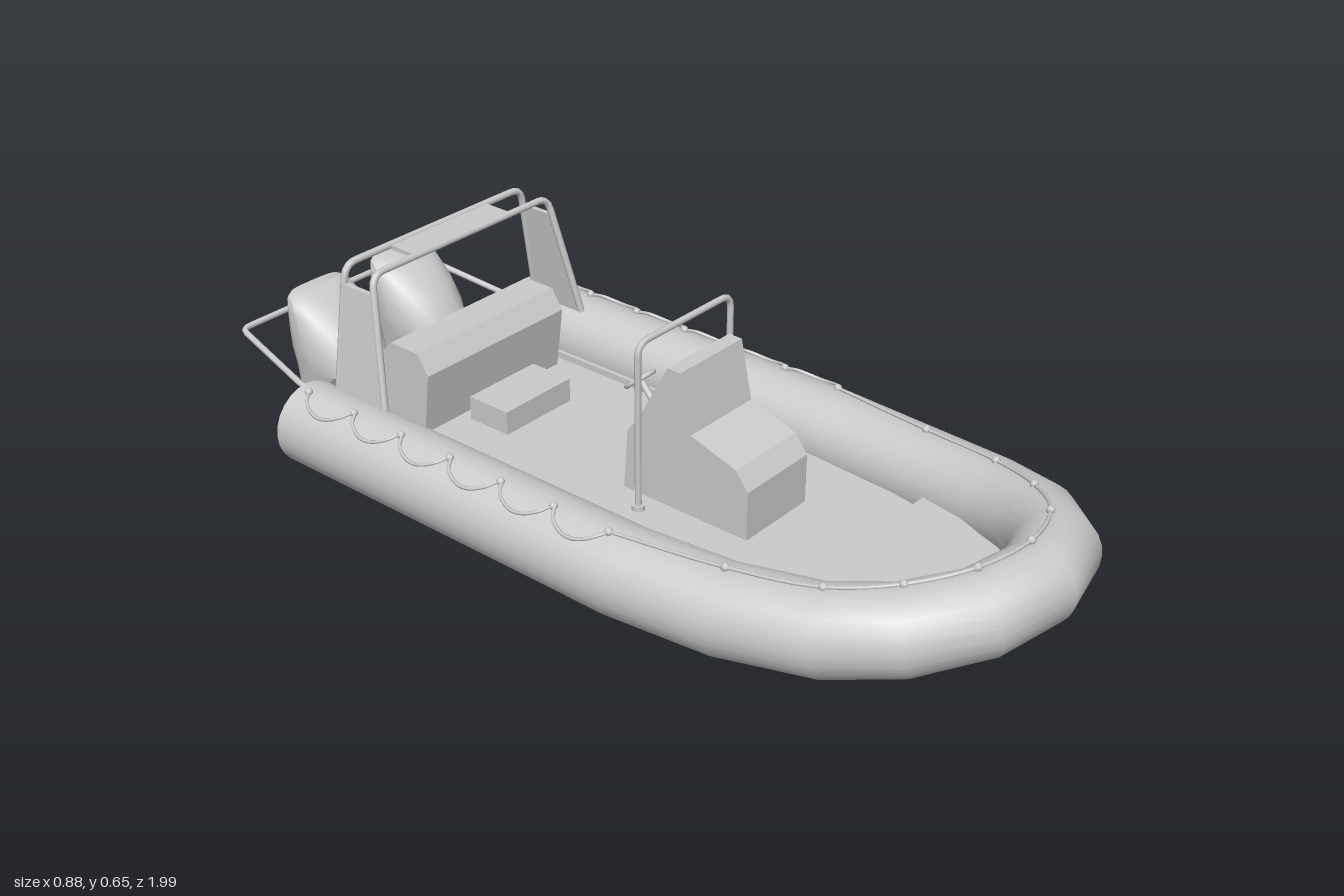
import * as THREE from 'three';
import { toCreasedNormals } from 'three/addons/utils/BufferGeometryUtils.js';

const V = (x, y, z) => new THREE.Vector3(x, y, z);
const material = new THREE.MeshStandardMaterial({ color: 0xcccccc, side: THREE.DoubleSide });

export function createModel() {
  const boat = new THREE.Group();
  const sides = [[-1, 'right'], [1, 'left']];

  function add(name, geometry, parent = boat) {
    const mesh = new THREE.Mesh(geometry, material);
    mesh.name = name;
    parent.add(mesh);
    return mesh;
  }

  function box(name, x0, x1, y0, y1, z0, z1) {
    const mesh = add(name, new THREE.BoxGeometry(x1 - x0, y1 - y0, z1 - z0));
    mesh.position.set((x0 + x1) / 2, (y0 + y1) / 2, (z0 + z1) / 2);
    return mesh;
  }

  // Skin over a row of closed rings, capped at both ends
  function loft(rings, crease = 0.6) {
    const n = rings[0].length, last = rings.length - 1, index = [];
    const points = rings.flat();
    for (const ring of [rings[0], rings[last]]) {
      points.push(ring.reduce((sum, p) => sum.add(p), V(0, 0, 0)).divideScalar(n));
    }
    for (let j = 0; j < n; j++) {
      const k = (j + 1) % n;
      for (let i = 0; i < last; i++) {
        const a = i * n + j, b = i * n + k;
        index.push(a, b, a + n, b, b + n, a + n);
      }
      index.push(points.length - 2, k, j, points.length - 1, last * n + j, last * n + k);
    }
    // Turn the faces outward when the rings run the other way
    let volume = 0;
    for (let i = 0; i < index.length; i += 3) {
      volume += points[index[i]].dot(V(0, 0, 0).crossVectors(points[index[i + 1]], points[index[i + 2]]));
    }
    if (volume < 0) index.reverse();
    const geometry = new THREE.BufferGeometry().setFromPoints(points);
    geometry.setIndex(index);
    return toCreasedNormals(geometry, crease);
  }

  // Extrude a (z, y) outline across x
  function sideProfile(outline, width) {
    const shape = new THREE.Shape(outline.map(([z, y]) => new THREE.Vector2(-z, y)));
    const geometry = new THREE.ExtrudeGeometry(shape, { depth: width, bevelEnabled: false });
    return geometry.translate(0, 0, -width / 2).rotateY(Math.PI / 2);
  }

  // Flat deck panel from a half outline (x, z), mirrored
  function panel(name, half, top, depth) {
    const all = [...half, ...half.slice().reverse().map(([x, z]) => [-x, z])];
    const shape = new THREE.Shape(all.map(([x, z]) => new THREE.Vector2(x, -z)));
    const geometry = new THREE.ExtrudeGeometry(shape, { depth, bevelEnabled: false });
    add(name, geometry.rotateX(-Math.PI / 2).translate(0, top - depth, 0));
  }

  // Bent metal pipe with rounded corners
  function pipe(name, pts, r, bend = 0.03) {
    const path = new THREE.CurvePath();
    let from = pts[0];
    for (let i = 1; i < pts.length - 1; i++) {
      const p = pts[i];
      const a = p.clone().add(pts[i - 1].clone().sub(p).setLength(bend));
      const b = p.clone().add(pts[i + 1].clone().sub(p).setLength(bend));
      path.add(new THREE.LineCurve3(from, a));
      path.add(new THREE.QuadraticBezierCurve3(a, p, b));
      from = b;
    }
    path.add(new THREE.LineCurve3(from, pts[pts.length - 1]));
    add(name, new THREE.TubeGeometry(path, 90, r, 8));
  }

  // Inflated collar: x, y, z, radius from stern cone to bow, mirrored
  const half = [
    [0.347, 0.278, -0.76, 0.004], [0.347, 0.278, -0.685, 0.092], [0.347, 0.278, 0.22, 0.093],
    [0.328, 0.283, 0.45, 0.092], [0.29, 0.304, 0.645, 0.09], [0.23, 0.332, 0.775, 0.088],
    [0.13, 0.361, 0.873, 0.085], [0, 0.372, 0.908, 0.083],
  ];
  const collar = [...half, ...half.slice(0, -1).reverse().map(([x, y, z, r]) => [-x, y, z, r])];
  add('inflatableCollar', loft(collar.map(([x, y, z, r], i) => {
    const p = collar[Math.max(i - 1, 0)], q = collar[Math.min(i + 1, collar.length - 1)];
    const along = V(q[0] - p[0], q[1] - p[1], q[2] - p[2]).normalize();
    const side = V(0, 0, 0).crossVectors(along, V(0, 1, 0)).normalize();
    const up = V(0, 0, 0).crossVectors(side, along);
    return Array.from({ length: 24 }, (_, j) => {
      const t = j / 24 * Math.PI * 2;
      return V(x, y, z).addScaledVector(side, r * Math.cos(t)).addScaledVector(up, r * Math.sin(t));
    });
  })));

  // Hull stations: z, top half width, top y, chine half width, chine y, keel y
  const stations = [
    [-0.64, 0.265, 0.25, 0.195, 0.142, 0.134], [0, 0.265, 0.25, 0.195, 0.14, 0.124],
    [0.35, 0.262, 0.25, 0.19, 0.145, 0.126], [0.53, 0.245, 0.255, 0.165, 0.165, 0.137],
    [0.67, 0.21, 0.27, 0.125, 0.2, 0.175], [0.74, 0.175, 0.28, 0.09, 0.23, 0.212],
    [0.79, 0.14, 0.29, 0.06, 0.268, 0.258],
  ];
  add('hull', loft(stations.map(([z, w, top, cw, cy, ky]) => {
    const right = [[w, top], [w * 0.6 + cw * 0.4, cy * 0.4 + top * 0.6], [cw, cy]];
    const left = right.slice().reverse().map(([x, y]) => [-x, y]);
    return [...right, [0, ky], ...left].map(([x, y]) => V(x, y, z));
  }), 0.7));

  // Decks
  panel('floor', [[0.27, -0.68], [0.27, 0.3], [0.255, 0.53]], 0.265, 0.03);
  panel('foredeck', [[0.26, 0.52], [0.215, 0.67], [0.16, 0.79], [0.08, 0.86]], 0.295, 0.025);
  for (const [s, label] of sides) {
    box(label + 'FloorRail', s * 0.24 - 0.005, s * 0.24 + 0.005, 0.26, 0.28, -0.64, 0.21);
  }

  // Transom plate
  const outline = [[0.25, 0.3], [0.24, 0.2], [0.2, 0.14], [0.175, 0.115], [0, 0.095]];
  const plate = [...outline, ...outline.slice(0, -1).reverse().map(([x, y]) => [-x, y])];
  const plateShape = new THREE.Shape(plate.map(([x, y]) => new THREE.Vector2(x, y)));
  add('transom', new THREE.ExtrudeGeometry(plateShape, { depth: 0.045, bevelEnabled: false })).position.z = -0.675;

  // Console with its wheel and grab hoop
  add('console', sideProfile([
    [0, 0.26], [0.32, 0.26], [0.32, 0.375], [0.29, 0.415], [0.175, 0.45],
    [0.148, 0.58], [0.115, 0.58], [0.045, 0.45], [0.01, 0.4],
  ], 0.194));
  const wheel = new THREE.Group();
  wheel.name = 'steeringWheel';
  wheel.position.set(-0.045, 0.495, 0);
  wheel.rotation.x = -Math.PI / 2 - 0.7;
  add('wheelRim', new THREE.TorusGeometry(0.032, 0.005, 8, 24), wheel);
  for (let i = 0; i < 3; i++) {
    const spoke = add('wheelSpoke', new THREE.BoxGeometry(0.006, 0.032, 0.004).translate(0, 0.016, 0), wheel);
    spoke.rotation.z = i * Math.PI * 2 / 3;
  }
  boat.add(wheel);
  pipe('steeringColumn', [V(-0.045, 0.495, 0), V(-0.045, 0.44, 0.05)], 0.007);
  pipe('consoleHoop', [V(-0.145, 0.265, 0.08), V(-0.145, 0.64, 0.08), V(0.145, 0.64, 0.08), V(0.145, 0.265, 0.08)], 0.007);
  for (const [s, label] of sides) {
    const foot = add(label + 'HoopFoot', new THREE.CylinderGeometry(0.014, 0.014, 0.012, 12));
    foot.position.set(s * 0.145, 0.27, 0.08);
  }

  // Stern bench and step
  add('bench', sideProfile([
    [-0.47, 0.26], [-0.45, 0.41], [-0.48, 0.455], [-0.56, 0.455], [-0.67, 0.34], [-0.67, 0.26],
  ], 0.42));
  box('step', -0.1, 0.1, 0.26, 0.32, -0.44, -0.33);

  // Stern arch: two hoops, side fins and a top panel
  for (const [name, base, top] of [['archFrontHoop', -0.48, -0.54], ['archRearHoop', -0.625, -0.622]]) {
    pipe(name, [V(-0.31, 0.35, base), V(-0.265, 0.64, top), V(0.265, 0.64, top), V(0.31, 0.35, base)], 0.008);
  }
  for (const [s, label] of sides) {
    add(label + 'ArchFin', loft([-0.006, 0.006].map((d) => [
      V(s * 0.31 + d, 0.35, -0.48), V(s * 0.31 + d, 0.35, -0.625),
      V(s * 0.272 + d, 0.6, -0.622), V(s * 0.272 + d, 0.6, -0.532),
    ])));
  }
  box('archTopPanel', -0.14, 0.15, 0.632, 0.642, -0.622, -0.54);

  // Stern guard rail
  pipe('sternRail', [
    V(-0.29, 0.33, -0.66), V(-0.31, 0.325, -0.74), V(-0.268, 0.368, -0.993),
    V(0.268, 0.368, -0.993), V(0.31, 0.325, -0.74), V(0.29, 0.33, -0.66),
  ], 0.007, 0.02);

  // Outboard motors: y, front z, back z, half width
  const motor = [
    [0, -0.875, -0.905, 0.024], [0.025, -0.832, -0.903, 0.028], [0.1, -0.815, -0.898, 0.058],
    [0.2, -0.798, -0.9, 0.083], [0.25, -0.775, -0.902, 0.09], [0.295, -0.708, -0.912, 0.096],
    [0.34, -0.725, -0.918, 0.1], [0.39, -0.765, -0.918, 0.098], [0.43, -0.81, -0.918, 0.092],
    [0.452, -0.85, -0.916, 0.084], [0.462, -0.872, -0.912, 0.07],
  ];
  const soft = (v) => Math.sign(v) * Math.abs(v) ** 0.65;
  for (const [s, label] of sides) {
    add(label + 'Motor', loft(motor.map(([y, front, back, w]) => Array.from({ length: 20 }, (_, j) => {
      const t = j / 20 * Math.PI * 2, c = Math.cos(t);
      const x = w * soft(Math.sin(t)) * (1 - 0.4 * Math.max(c, 0));
      return V(s * 0.125 + x, y, (front + back) / 2 + (front - back) / 2 * soft(c));
    })), 0.7));
    box(label + 'MotorBracket', s * 0.12 - 0.03, s * 0.12 + 0.03, 0.22, 0.33, -0.79, -0.66);
  }

  // Grab ropes: swags along the sides, a taut line round the bow
  const onCollar = (s, angle, z) => V(s * (0.347 + 0.096 * Math.sin(angle)), 0.278 + 0.096 * Math.cos(angle), z);
  const rope = (name, pts, n) => add(name, new THREE.TubeGeometry(new THREE.CatmullRomCurve3(pts), n, 0.004, 6));
  const fitting = (p) => add('ropeFitting', new THREE.SphereGeometry(0.009, 8, 6)).position.copy(p);
  for (const [s, label] of sides) {
    const pts = [];
    for (let i = 0; i <= 48; i++) {
      const sag = Math.abs(Math.sin(i / 8 * Math.PI)) ** 0.7;
      pts.push(onCollar(s, 0.25 + 0.48 * sag, 0.2 - i / 48 * 0.85));
      if (i % 8 === 0) fitting(pts[i]);
    }
    rope(label + 'SideRope', pts, 192);
  }
  const bowHalf = [
    onCollar(1, 0.25, 0.2), V(0.332, 0.379, 0.45), V(0.29, 0.397, 0.64),
    V(0.222, 0.423, 0.765), V(0.125, 0.448, 0.855), V(0, 0.457, 0.888),
  ];
  const bow = [...bowHalf, ...bowHalf.slice(0, -1).reverse().map((p) => V(-p.x, p.y, p.z))];
  bow.forEach(fitting);
  rope('bowRope', bow, 80);

  return boat;
}
